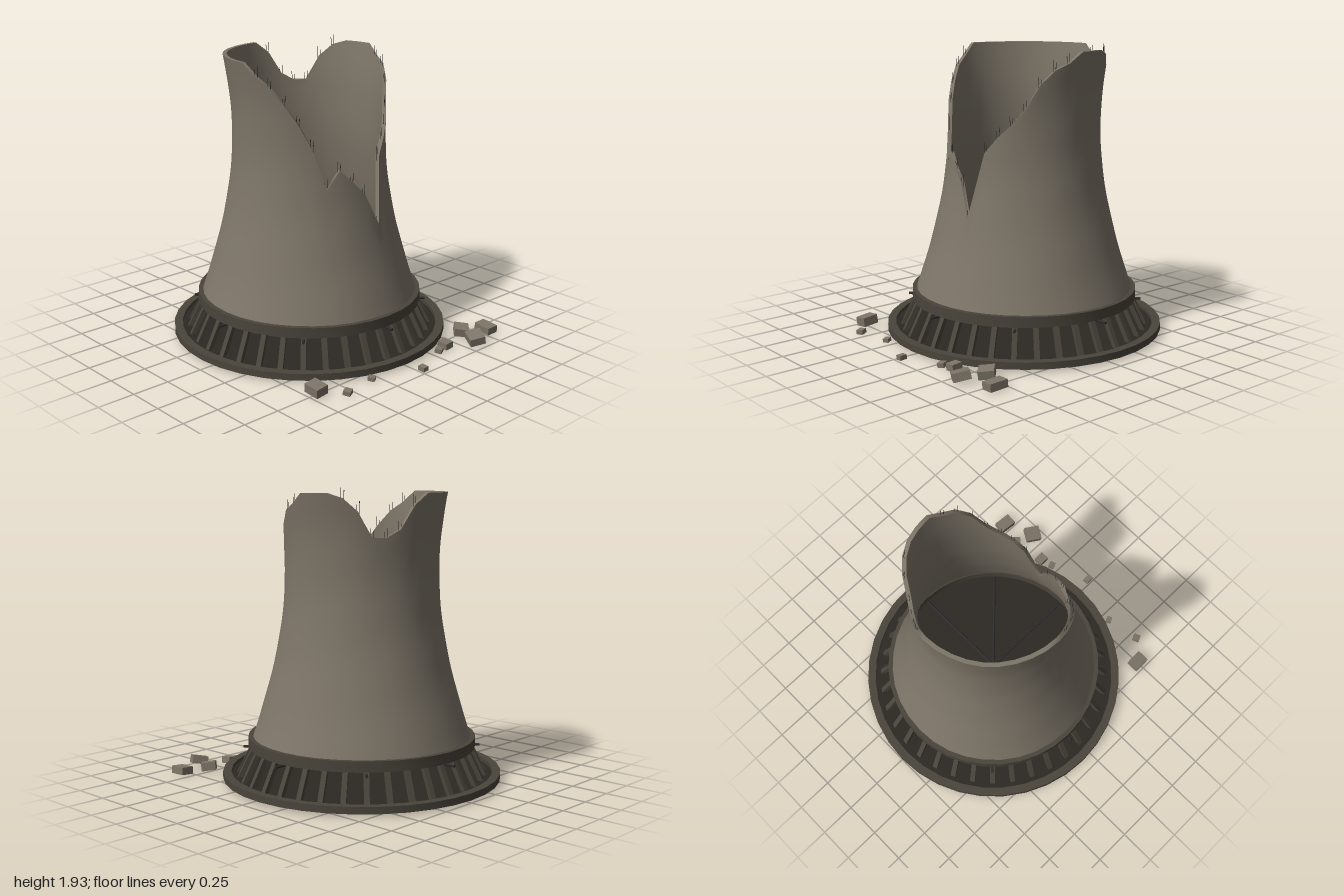
import * as THREE from 'three';
import { toCreasedNormals } from 'three/addons/utils/BufferGeometryUtils.js';

const SEG = 36, FOOT = 0.25, WALL = 0.027, TOP = 1.9;
const concrete = new THREE.MeshStandardMaterial({ color: 0x7d7568 });
const darkConcrete = new THREE.MeshStandardMaterial({ color: 0x4a453c });
const floorMat = new THREE.MeshStandardMaterial({ color: 0x2c2924 });
const steel = new THREE.MeshStandardMaterial({ color: 0x2e2e30 });

// Height of the broken rim every 10 degrees, from the front round to the left
const rim = new Array(SEG).fill(TOP);
[1.06, 0.85, 1.27, 1.37, 1.45, 1.55, 1.7, 1.79, 1.83].forEach((y, i) => { rim[i] = y; });
[1.87, 1.79, 1.63, 1.63, 1.68, 1.83].forEach((y, i) => { rim[12 + i] = y; });
[1.82, 1.76, 1.66, 1.54, 1.38, 1.12, 1.235, 1.15].forEach((y, i) => { rim[28 + i] = y; });

const angleOf = (i) => (i / SEG) * Math.PI * 2;
const radiusAt = (y) => 0.505 * Math.sqrt(1 + ((y - 1.4) / 1.073) ** 2);
const around = (a, r, y) => new THREE.Vector3(Math.sin(a) * r, y, Math.cos(a) * r);

function add(parent, name, geometry, material) {
  const mesh = new THREE.Mesh(geometry, material);
  mesh.name = name;
  parent.add(mesh);
  return mesh;
}

// Closed band of quads; point(i, t) gives the position at column i, row t in 0..1
function band(rows, point) {
  const pos = [], index = [];
  for (let j = 0; j <= rows; j++)
    for (let i = 0; i < SEG; i++) pos.push(...point(i, j / rows).toArray());
  for (let j = 0; j < rows; j++)
    for (let i = 0; i < SEG; i++) {
      const n = (i + 1) % SEG;
      const a = j * SEG + i, b = j * SEG + n, c = b + SEG, d = a + SEG;
      index.push(a, b, c, a, c, d);
    }
  const g = new THREE.BufferGeometry();
  g.setAttribute('position', new THREE.Float32BufferAttribute(pos, 3));
  g.setIndex(index);
  g.computeVertexNormals();
  return g;
}

// Ring with a rectangular section
function ring(inner, outer, y0, y1) {
  const section = [[inner, y0], [outer, y0], [outer, y1], [inner, y1], [inner, y0]];
  const g = new THREE.LatheGeometry(section.map(([r, y]) => new THREE.Vector2(r, y)), SEG);
  return toCreasedNormals(g, 0.6);
}

// Stretch a mesh built along y between two points
function span(mesh, from, to) {
  const dir = to.clone().sub(from);
  mesh.position.copy(from).addScaledVector(dir, 0.5);
  mesh.scale.y = dir.length();
  mesh.quaternion.setFromUnitVectors(new THREE.Vector3(0, 1, 0), dir.normalize());
}

export function createModel() {
  const model = new THREE.Group();
  model.name = 'ruinedCoolingTower';
  const tower = new THREE.Group();
  tower.name = 'tower';
  tower.position.z = -0.075;
  model.add(tower);

  // Hyperbolic shell: weathered outside, inside and the broken edge
  const wallPoint = (i, t, inset) => {
    const y = FOOT + (rim[i] - FOOT) * t;
    const a = angleOf(i);
    const dent = 0.002 * Math.sin(3 * a + 7 * y) * Math.sin(5 * a - 9 * y + 1);
    return around(a, radiusAt(y) - inset + dent, y);
  };
  add(tower, 'shellOutside', band(28, (i, t) => wallPoint(i, t, 0)), concrete);
  add(tower, 'shellInside', band(28, (i, t) => wallPoint(i, 1 - t, WALL)), concrete);
  add(tower, 'brokenEdge', band(1, (i, t) => wallPoint(i, 1, WALL * t)), concrete);

  // Ring beam, basin kerb and basin floor
  add(tower, 'ringBeam', ring(0.69, 0.755, 0.228, 0.297), darkConcrete);
  add(tower, 'basinKerb', ring(0.87, 0.925, 0.02, 0.065), darkConcrete);
  const floor = add(tower, 'basinFloor', new THREE.CylinderGeometry(0.88, 0.88, 0.02, SEG), floorMat);
  floor.position.y = 0.031;

  // Leaning columns of the air inlet
  const columns = new THREE.Group();
  columns.name = 'inletColumns';
  tower.add(columns);
  const columnGeo = new THREE.BoxGeometry(0.034, 1, 0.03);
  for (let i = 0; i < SEG; i++) {
    const pivot = new THREE.Group();
    pivot.rotation.y = angleOf(i + 0.5);
    columns.add(pivot);
    const column = add(pivot, 'column', columnGeo, darkConcrete);
    span(column, around(0, 0.822, 0.03), around(0, 0.718, 0.24));
  }

  // Pipes crossing the tower below the shell
  const pipeGeo = new THREE.CylinderGeometry(0.009, 0.009, 1, 8);
  for (let i = 0; i < 4; i++) {
    const a = (i * Math.PI) / 4;
    const pipe = add(tower, 'waterPipe', pipeGeo, steel);
    span(pipe, around(a, -0.79, 0.212), around(a, 0.79, 0.212));
  }

  // Reinforcing bars standing out of the broken edge
  const bars = new THREE.Group();
  bars.name = 'reinforcingBars';
  tower.add(bars);
  const barGeo = new THREE.CylinderGeometry(0.0018, 0.0018, 1, 5);
  rim.forEach((y, i) => {
    if (y >= TOP) return;
    for (let k = 0; k < 2; k++) {
      const a = angleOf(i) + (k - 0.5) * 0.03;
      const r = radiusAt(y) - WALL / 2;
      const height = 0.035 + 0.03 * ((i * 7 + k * 3) % 5) / 4;
      const bar = add(bars, 'bar', barGeo, steel);
      span(bar, around(a, r, y - 0.03), around(a + 0.01 * (k - 0.5), r, y + height));
    }
  });

  // Fallen blocks: x, z, width, height, depth, turn, tilt
  const blocks = [
    [-0.69, 0.745, 0.09, 0.06, 0.11, 0.03, 0.1],
    [-0.555, 0.88, 0.048, 0.03, 0.048, 0.45, 0.1],
    [-0.31, 0.84, 0.038, 0.025, 0.045, 0.5, 0.08],
    [0.03, 0.96, 0.042, 0.03, 0.05, 0.05, 0.05],
    [0.305, 0.85, 0.045, 0.03, 0.045, 0.4, 0.1],
    [0.395, 0.825, 0.065, 0.045, 0.075, 0.03, 0.06],
    [0.63, 0.76, 0.1, 0.055, 0.095, 0.8, 0.12],
    [0.585, 0.92, 0.105, 0.055, 0.11, -0.5, 0.18],
    [0.8, 0.835, 0.085, 0.05, 0.125, -0.06, 0.06],
  ];
  blocks.forEach(([x, z, w, h, d, turn, tilt]) => {
    const block = add(model, 'fallenBlock', new THREE.BoxGeometry(w, h, d), concrete);
    block.rotation.set(tilt, turn, tilt, 'YXZ');
    block.position.set(x, h / 2 + 0.5 * tilt * (w + d) + 0.003, z);
  });

  return model;
}
